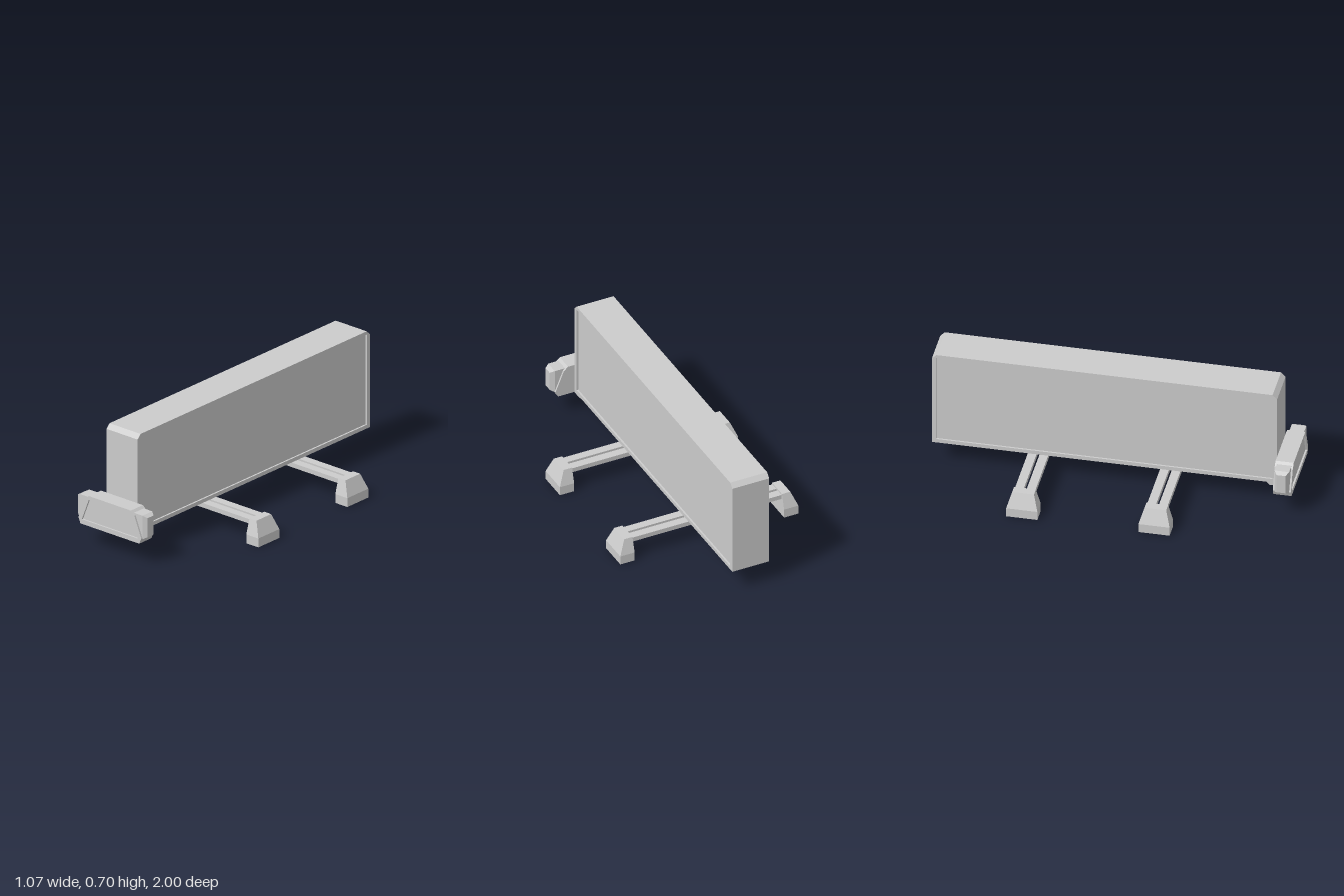
import * as THREE from 'three';
import { ConvexGeometry } from 'three/addons/geometries/ConvexGeometry.js';

const material = new THREE.MeshStandardMaterial({ color: 0xcccccc, flatShading: true });

function add(parent, name, geometry) {
  const mesh = new THREE.Mesh(geometry, material);
  mesh.name = name;
  parent.add(mesh);
  return mesh;
}

// Box from its minimum and maximum corners
function span(x0, x1, y0, y1, z0, z1) {
  return new THREE.BoxGeometry(x1 - x0, y1 - y0, z1 - z0)
    .translate((x0 + x1) / 2, (y0 + y1) / 2, (z0 + z1) / 2);
}

function hull(points) {
  return new ConvexGeometry(points.map(p => new THREE.Vector3(...p)));
}

// Extruded outline, optionally with one hole
function slab(outline, hole, depth) {
  const shape = new THREE.Shape(outline.map(p => new THREE.Vector2(...p)));
  if (hole) shape.holes.push(new THREE.Path(hole.map(p => new THREE.Vector2(...p))));
  return new THREE.ExtrudeGeometry(shape, { depth, bevelEnabled: false });
}

// Slab whose outline is given as (z, y), centred on x = 0
function sideSlab(outline, hole, width) {
  return slab(outline, hole, width).translate(0, 0, -width / 2).rotateY(-Math.PI / 2);
}

export function createModel() {
  const model = new THREE.Group();
  model.name = 'standingUnit';

  // Tall case: rim frame with a recessed panel on each side
  const rim = [[-1, 0.13], [0.9, 0.13], [0.9, 0.675], [0.875, 0.7], [-0.975, 0.7], [-1, 0.675]];
  const panel = [[-0.975, 0.152], [0.875, 0.152], [0.875, 0.68], [-0.975, 0.68]];
  add(model, 'caseFrame', sideSlab(rim, panel, 0.222));
  add(model, 'sidePanels', sideSlab(panel, null, 0.202));

  // Front display with a recessed trapezoid face
  const bezel = [[-0.21, 0.125], [0.21, 0.125], [0.225, 0.158], [0.175, 0.28], [0.15, 0.302],
    [-0.15, 0.302], [-0.175, 0.28], [-0.225, 0.158]];
  const face = [[-0.2, 0.152], [0.2, 0.152], [0.15, 0.28], [-0.15, 0.28]];
  add(model, 'displayBezel', slab(bezel, face, 0.1).translate(0, 0, 0.9));
  add(model, 'displayFace', slab(face, null, 0.09).translate(0, 0, 0.9));

  // Tapered bracket beneath the display
  const bracket = [[0.83, 0.13], [0.855, 0.105], [0.945, 0.105], [0.975, 0.13]];
  add(model, 'displayBracket', sideSlab(bracket, null, 0.2));

  // Bevelled pods on both ends of the display
  for (const s of [-1, 1]) {
    const points = [];
    for (const z of [0.91, 0.99]) {
      points.push([s * 0.15, 0.29, z], [s * 0.2, 0.152, z],
        [s * 0.225, 0.29, z], [s * 0.225, 0.152, z]);
    }
    for (const z of [0.925, 0.975]) {
      points.push([s * 0.248, 0.277, z], [s * 0.248, 0.165, z]);
    }
    add(model, s > 0 ? 'leftPod' : 'rightPod', hull(points));
  }

  // Two stands, each with twin crossbars and a sloped foot at either end
  for (const [name, z] of [['frontStand', 0.312], ['rearStand', -0.416]]) {
    const stand = new THREE.Group();
    stand.name = name;
    stand.position.z = z;
    model.add(stand);
    for (const s of [-1, 1]) {
      const c = s * 0.032;
      add(stand, 'crossbar', span(-0.46, 0.46, 0.104, 0.13, c - 0.024, c + 0.024));
      const points = [];
      for (const d of [-1, 1]) {
        for (const [x, y, half] of [[0.45, 0, 0.086], [0.536, 0, 0.086],
          [0.45, 0.052, 0.086], [0.536, 0.052, 0.086],
          [0.45, 0.138, 0.06], [0.5, 0.138, 0.06]]) {
          points.push([s * x, y, d * half]);
        }
      }
      add(stand, s > 0 ? 'leftFoot' : 'rightFoot', hull(points));
    }
  }
  return model;
}
